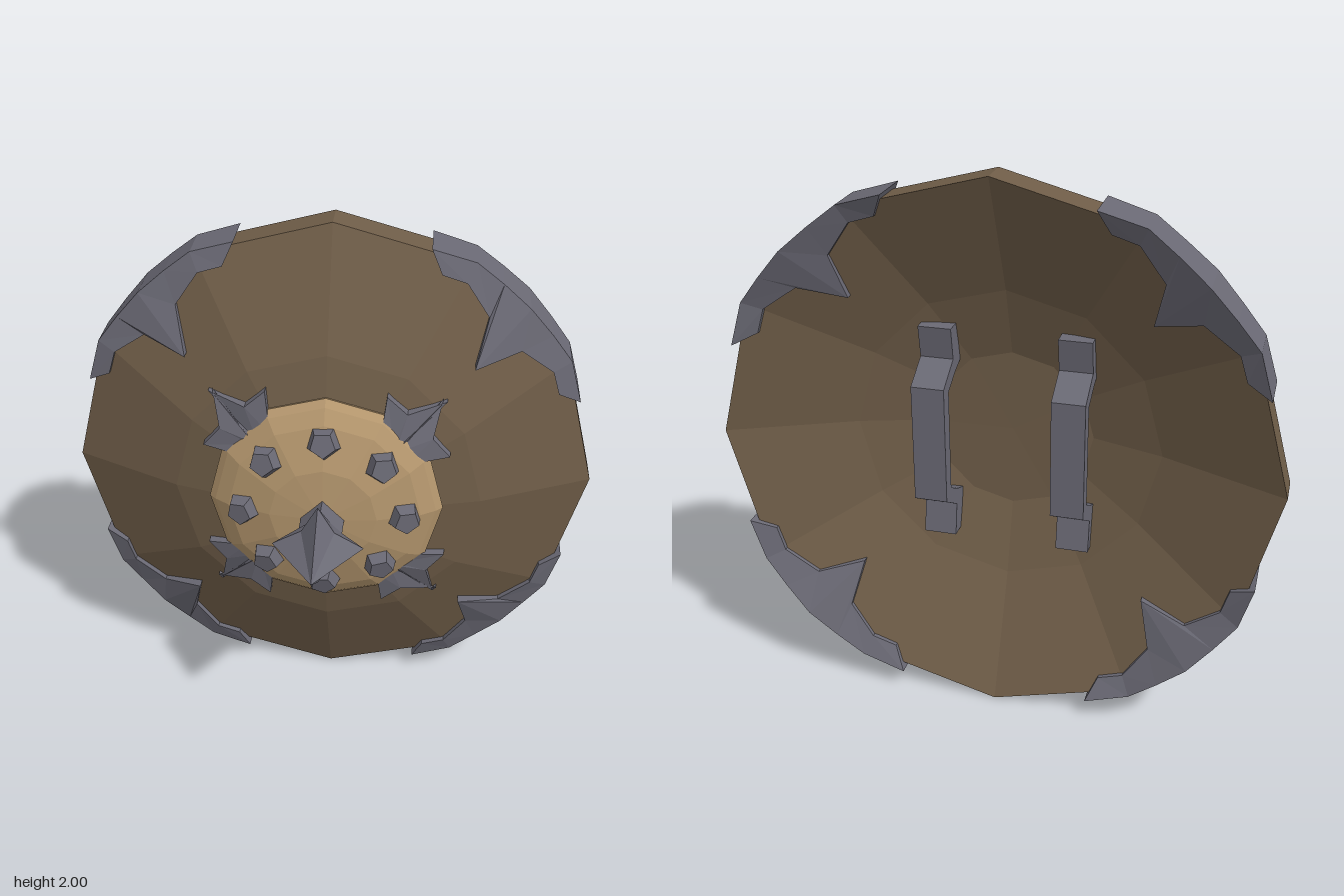
import * as THREE from 'three';

const wood = new THREE.MeshStandardMaterial({ color: 0x6f5d48 });
wood.name = 'brown wood';
const bronze = new THREE.MeshStandardMaterial({ color: 0xb5976e });
bronze.name = 'tan bronze';
const steel = new THREE.MeshStandardMaterial({ color: 0x6a6974 });
steel.name = 'grey steel';

// Faceted mesh with hard edges
function part(name, geometry, material) {
  const g = geometry.index ? geometry.toNonIndexed() : geometry;
  g.computeVertexNormals();
  const mesh = new THREE.Mesh(g, material);
  mesh.name = name;
  return mesh;
}

// Twelve-sided turned shape around the z axis; profile is [radius, z] from back to front
function turned(profile) {
  const g = new THREE.LatheGeometry(profile.map(([r, z]) => new THREE.Vector2(r, z)), 12);
  return g.rotateX(Math.PI / 2);
}

// Closed skin over equal-length rings, counter-clockwise about the direction of travel
function loft(rings) {
  const out = [];
  const tri = (...pts) => pts.forEach((p) => out.push(...p));
  const n = rings[0].length;
  for (let i = 0; i < rings.length - 1; i++) {
    for (let j = 0; j < n; j++) {
      const k = (j + 1) % n;
      const a = rings[i][j], b = rings[i][k], c = rings[i + 1][k], d = rings[i + 1][j];
      tri(a, b, c);
      tri(a, c, d);
    }
  }
  const cap = (ring, flip) => {
    const mid = [0, 1, 2].map((c) => ring.reduce((s, p) => s + p[c], 0) / n);
    ring.forEach((p, j) => {
      const q = ring[(j + 1) % n];
      if (flip) tri(mid, q, p); else tri(mid, p, q);
    });
  };
  cap(rings[0], true);
  cap(rings[rings.length - 1], false);
  const g = new THREE.BufferGeometry();
  g.setAttribute('position', new THREE.Float32BufferAttribute(out, 3));
  return g;
}

// Front height of the faceted dish at a point of the upper right quarter
function dishZ(x, y) {
  let r = 0;
  for (const deg of [15, 45, 75]) {
    const a = THREE.MathUtils.degToRad(deg);
    r = Math.max(r, (x * Math.cos(a) + y * Math.sin(a)) / Math.cos(Math.PI / 12));
  }
  return -0.31 + 0.45 * (1 - r);
}

// Plate symmetric about the diagonal, lying on the dish.
// Each station: outer x, y, inner x, y, outer lift, inner lift
function diagonalPlate(stations, backOffset) {
  const mirrored = stations.slice(0, -1).reverse()
    .map(([ox, oy, ix, iy, lo, li]) => [oy, ox, iy, ix, lo, li]);
  return loft([...stations, ...mirrored].map(([ox, oy, ix, iy, lo, li]) => {
    const zo = dishZ(ox, oy), zi = dishZ(ix, iy);
    return [
      [ox, oy, zo - backOffset - lo * 0.6],
      [ox, oy, zo + lo],
      [ix, iy, zi + li],
      [ix, iy, zi - backOffset - li * 0.6],
    ];
  }));
}

export function createModel() {
  const model = new THREE.Group();
  model.name = 'roundShield';
  const shield = new THREE.Group();
  shield.name = 'shieldBody';
  shield.position.y = 1;
  model.add(shield);

  // Dished wooden board and its central boss
  shield.add(part('board', turned([
    [0, -0.15], [0.3, -0.155], [0.56, -0.235], [1, -0.43],
    [1, -0.31], [0.58, -0.115], [0.3, -0.04], [0, -0.02],
  ]), wood));
  shield.add(part('boss', turned([
    [0, -0.08], [0.43, -0.09], [0.44, -0.06], [0.415, -0.035],
    [0.36, 0], [0.2, 0.05], [0, 0.07],
  ]), bronze));

  // Four-pointed star spike on a short shank
  const star = ([z, tip, notch]) => Array.from({ length: 8 }, (_, i) => {
    const r = i % 2 ? notch : tip;
    const a = i * Math.PI / 4;
    return [r * Math.cos(a), r * Math.sin(a), z];
  });
  shield.add(part('spike', loft([
    [0, 0.08, 0.057], [0.145, 0.08, 0.057], [0.23, 0.165, 0.085], [0.46, 0, 0],
  ].map(star)), steel));

  // Ring of five-sided studs, tilted with the boss surface
  for (let i = 0; i < 8; i++) {
    const holder = new THREE.Group();
    holder.name = 'studHolder';
    holder.rotation.z = i * Math.PI / 4;
    const g = new THREE.CylinderGeometry(0.048, 0.072, 0.07, 5);
    g.rotateX(Math.PI / 2).rotateZ(i * 0.5);
    const stud = part('stud', g, steel);
    stud.position.set(0.303, 0, 0.026);
    stud.rotation.y = 0.3;
    holder.add(stud);
    shield.add(holder);
  }

  // Rim brackets and barbed plates beside the boss, on the four diagonals
  const bracket = diagonalPlate([
    [0.35, 0.925, 0.39, 0.84, 0.035, 0.025],
    [0.51, 0.878, 0.48, 0.812, 0.025, 0.025],
    [0.61, 0.8, 0.565, 0.69, 0.03, 0.025],
    [0.712, 0.712, 0.525, 0.525, 0.04, 0.045],
  ], 0.12);
  const barb = diagonalPlate([
    [0.22, 0.455, 0.2, 0.3, 0.03, 0],
    [0.295, 0.39, 0.25, 0.27, 0.03, 0],
    [0.435, 0.42, 0.26, 0.265, 0.03, 0.005],
    [0.425, 0.425, 0.27, 0.27, 0.035, 0.01],
  ], 0.02);
  for (let i = 0; i < 4; i++) {
    const a = part('rimBracket', bracket, steel);
    const b = part('bossBarb', barb, steel);
    a.rotation.z = b.rotation.z = i * Math.PI / 2;
    shield.add(a, b);
  }

  // Two grips at the back: bent strap outline as [depth, y], mirrored top to bottom
  const outer = [[0.36, 0.22], [0.245, 0.29], [0.265, 0.41]];
  const inner = [[0.18, 0.41], [0.16, 0.26], [0.225, 0.235], [0.305, 0.19]];
  const half = [...outer, ...inner];
  const flipped = half.map(([d, y]) => [d, -y]).reverse();
  const outline = new THREE.Shape([...half, ...flipped].map(([d, y]) => new THREE.Vector2(d, y)));
  for (const x of [-0.25, 0.25]) {
    const g = new THREE.ExtrudeGeometry(outline, { depth: 0.12, bevelEnabled: false });
    g.translate(0, 0, -0.06).rotateY(Math.PI / 2);
    const grip = part(x > 0 ? 'leftGrip' : 'rightGrip', g, steel);
    grip.position.x = x;
    shield.add(grip);
  }
  return model;
}
